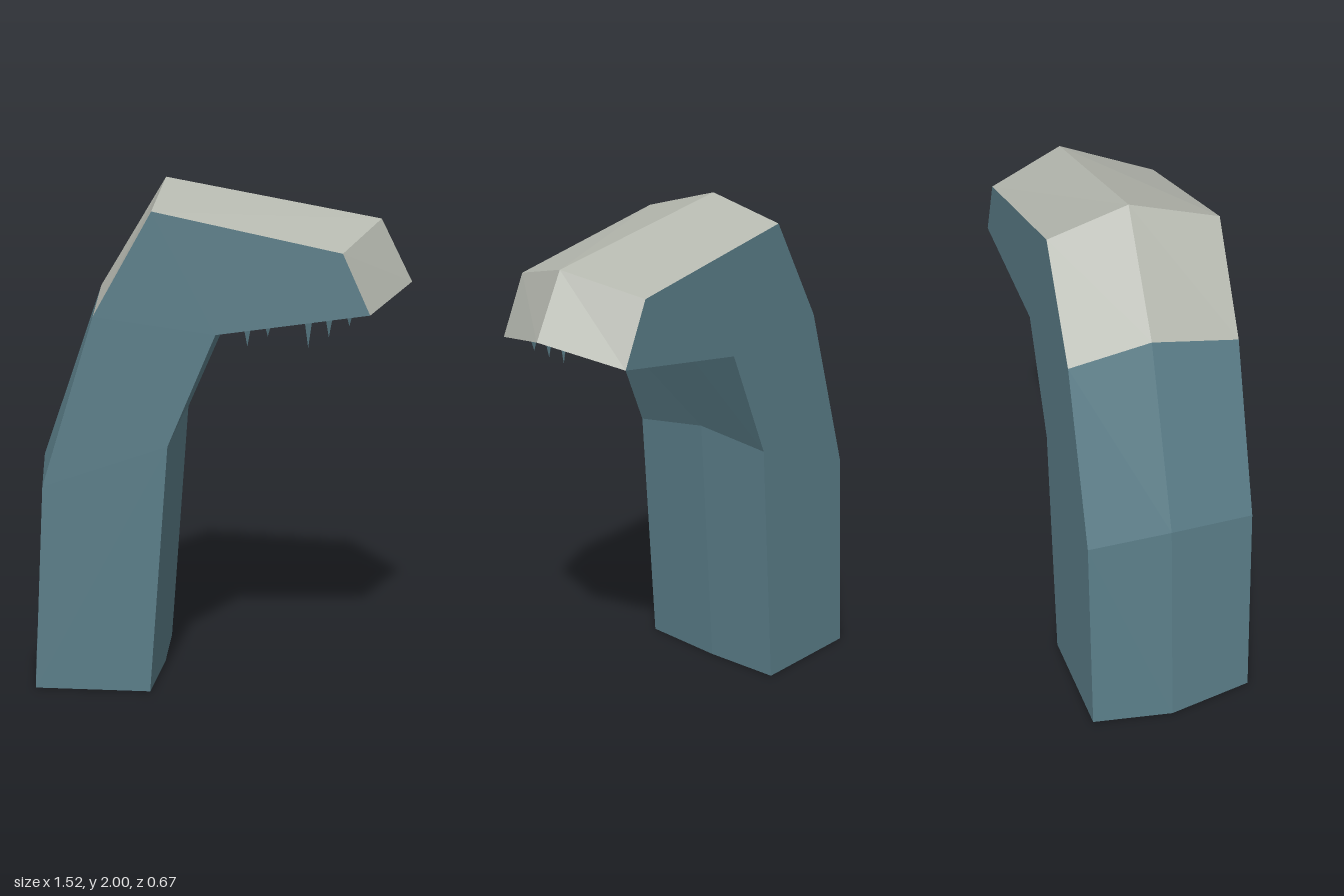
import * as THREE from 'three';

const teal = new THREE.MeshStandardMaterial({ color: 0x5a7d88 });
teal.name = 'teal';
const grey = new THREE.MeshStandardMaterial({ color: 0xb5b8af });
grey.name = 'pale grey';

// Bent outline at three depths: up the outer side, over the tip, down the inner side
const sections = [
  { z: 0.33, p: [[-0.7, 0], [-0.655, 0.83], [-0.447, 1.5], [-0.22, 1.9], [0.495, 1.75], [0.6, 1.52], [0.02, 1.437], [-0.165, 1.0], [-0.24, 0]] },
  { z: -0.02, p: [[-0.765, 0], [-0.71, 0.875], [-0.467, 1.57], [-0.205, 2], [0.637, 1.845], [0.76, 1.6], [0.06, 1.51], [-0.14, 1.055], [-0.22, 0]] },
  { z: -0.335, p: [[-0.71, 0], [-0.665, 0.84], [-0.455, 1.515], [-0.22, 1.92], [0.525, 1.77], [0.63, 1.53], [0.035, 1.45], [-0.155, 1.015], [-0.23, 0]] },
];
const point = (s, i) => [...sections[s].p[i % 9], sections[s].z];

function facetMesh(name, corners, material) {
  const geometry = new THREE.BufferGeometry();
  geometry.setAttribute('position', new THREE.Float32BufferAttribute(corners.flat(), 3));
  geometry.computeVertexNormals();
  const mesh = new THREE.Mesh(geometry, material);
  mesh.name = name;
  return mesh;
}

// Facets joining neighbouring sections along the given outline edges
function skin(edges) {
  const out = [];
  for (let s = 0; s < 2; s++) {
    for (const i of edges) {
      const a = point(s, i), b = point(s, i + 1), c = point(s + 1, i + 1), d = point(s + 1, i);
      out.push(a, b, c, a, c, d);
    }
  }
  return out;
}

// Flat side wall closing a section
function wall(s, flip) {
  const faces = [[0, 1, 7], [0, 7, 8], [1, 2, 6], [1, 6, 7], [6, 2, 3], [6, 3, 4], [6, 4, 5]];
  return faces.flatMap(([a, b, c]) => (flip ? [a, c, b] : [a, b, c]).map((i) => point(s, i)));
}

export function createModel() {
  const group = new THREE.Group();
  group.name = 'bentPillar';

  group.add(facetMesh('body', [...skin([0, 1, 5, 6, 7, 8]), ...wall(0, true), ...wall(2, false)], teal));
  group.add(facetMesh('cap', skin([2, 3, 4]), grey));

  // Row of small spikes hanging below the overhang: x, tip height
  const spikes = new THREE.Group();
  spikes.name = 'spikes';
  for (const [x, tip] of [[0.135, 1.38], [0.213, 1.42], [0.29, 1.462], [0.367, 1.378], [0.445, 1.42], [0.522, 1.465]]) {
    const top = 1.46 + (x - 0.02) * 0.14;
    const geometry = new THREE.ConeGeometry(0.02, top - tip, 6).rotateX(Math.PI).toNonIndexed();
    geometry.computeVertexNormals();
    const spike = new THREE.Mesh(geometry, teal);
    spike.name = 'spike';
    spike.position.set(x, (top + tip) / 2, 0.247);
    spikes.add(spike);
  }
  group.add(spikes);
  return group;
}
